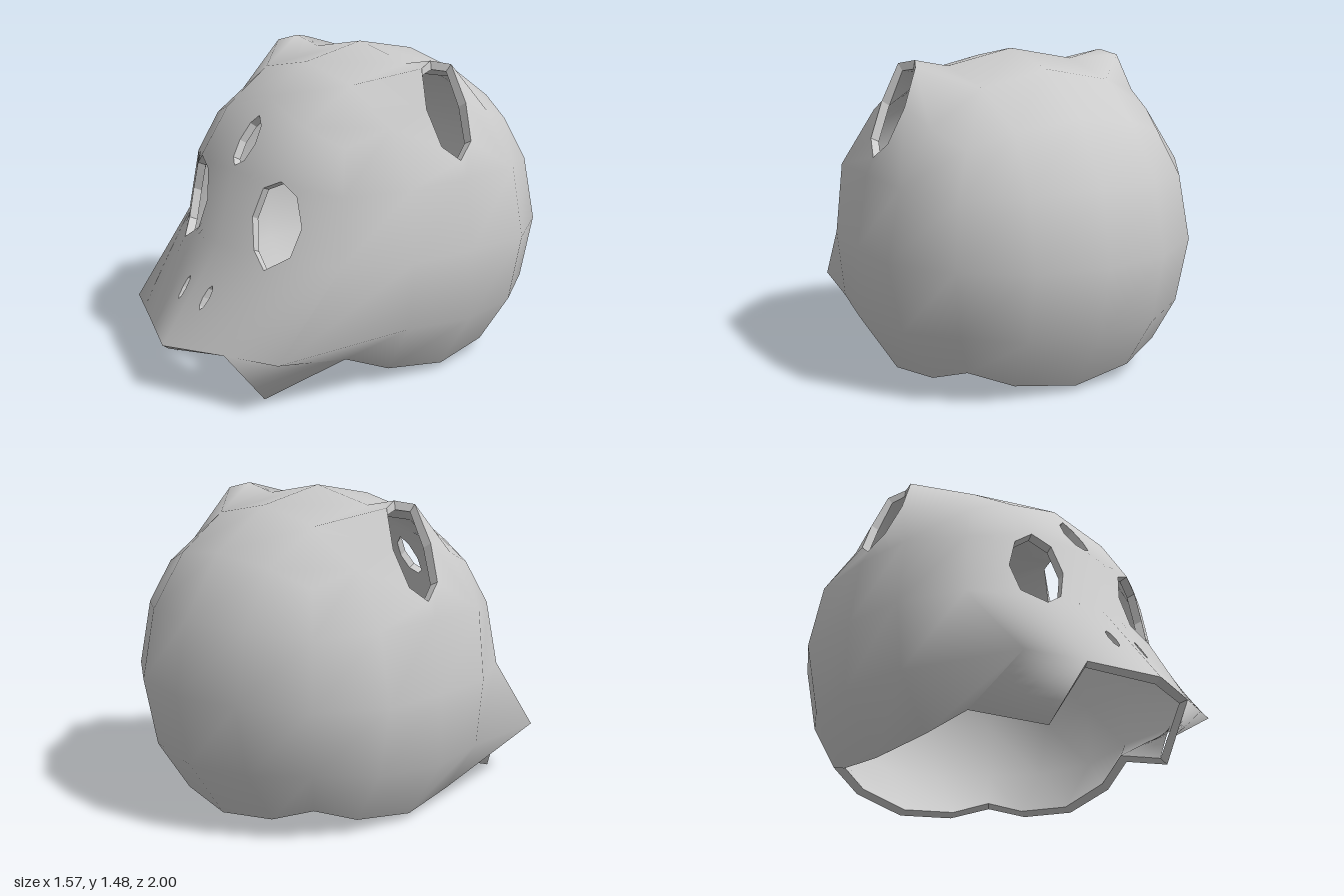
import * as THREE from 'three';

const V = (x, y, z) => new THREE.Vector3(x, y, z);
const WALL = 0.04; // shell thickness
const R = 0.85;    // skull radius

// Moulded points of the face and sides, on the cube lattice (|i|, j, k)
const moulded = {
  '0,2,2': [0, 1.28, 0.39], '0,1,2': [0, 0.97, 0.6], '0,0,2': [0, 0.64, 0.685],
  '0,-1,2': [0, 0.22, 1], '1,-1,2': [0.31, 0.24, 0.88], '2,-1,2': [0.57, 0.25, 0.78],
  '1,-2,2': [0.36, 0, 0.7], '2,1,0': [0.735, 0.955, -0.15], '2,0,1': [0.755, 0.63, 0.17],
};

// Every other lattice point lies on a sphere with flattened sides
function position(i, j, k) {
  const m = moulded[[Math.abs(i), j, k].join()];
  if (m) return V(m[0] * (Math.sign(i) || 1), m[1], m[2]);
  const c = [i, j, k];
  const spread = (n, a) => {
    if (Math.abs(n) !== 1) return n / 2;
    const other = Math.min(...c.filter((_, b) => b !== a).map(Math.abs));
    return n * (0.414 + 0.028 * other * other);
  };
  const p = V(...c.map(spread)).setLength(R);
  p.x = THREE.MathUtils.clamp(p.x, -0.785, 0.785);
  return p.add(V(0, 0.63, -0.15));
}

// A vertex pairs an outer point with its smooth normal
const vertex = p => ({ p, n: V(0, 0, 0) });
const inside = a => a.p.clone().addScaledVector(a.n, -WALL);

function mix(a, b, t) {
  return { p: a.p.clone().lerp(b.p, t), n: a.n.clone().lerp(b.n, t).normalize() };
}

// Collects triangles with their normals
class Surface {
  constructor() { this.pos = []; this.nor = []; }
  tri(points, normals) {
    points.forEach((p, a) => {
      this.pos.push(p.x, p.y, p.z);
      this.nor.push(normals[a].x, normals[a].y, normals[a].z);
    });
  }
  // Outer skin and matching inner skin
  skin(a, b, c, d) {
    for (const t of [[a, b, c], [a, c, d]]) {
      this.tri(t.map(v => v.p), t.map(v => v.n));
      t.reverse();
      this.tri(t.map(inside), t.map(v => v.n.clone().negate()));
    }
  }
  // Flat wall through the thickness around an opening
  rim(loop) {
    loop.forEach((a, s) => {
      const b = loop[(s + 1) % loop.length];
      const qa = inside(a), qb = inside(b);
      const n = b.p.clone().sub(a.p).cross(qa.clone().sub(a.p)).normalize();
      this.tri([a.p, b.p, qb], [n, n, n]);
      this.tri([a.p, qb, qa], [n, n, n]);
    });
  }
  mesh(name, material) {
    const g = new THREE.BufferGeometry();
    g.setAttribute('position', new THREE.Float32BufferAttribute(this.pos, 3));
    g.setAttribute('normal', new THREE.Float32BufferAttribute(this.nor, 3));
    const m = new THREE.Mesh(g, material);
    m.name = name;
    return m;
  }
}

// Face openings in lattice units: block centre and half size in cells, ellipse centre and radii
const CELL = 1 / 8;
const openings = [{ at: [0, 1.375], size: 3, c: [0, 1.4], r: [0.19, 0.34] }];
for (const s of [-1, 1]) {
  openings.push({ at: [s, 0.5], size: 5, c: [s * 0.98, 0.49], r: [0.42, 0.6] });
  openings.push({ at: [s * 0.25, -0.5], size: 2, c: [s * 0.28, -0.5], r: [0.055, 0.12] });
}

// Pulls grid points around an opening outward on to its octagonal edge
function warp(u, v) {
  for (const o of openings) {
    const a = Math.round((u - o.at[0]) / CELL), b = Math.round((v - o.at[1]) / CELL);
    const s = Math.max(Math.abs(a), Math.abs(b));
    if (s === 0 || s >= o.size) continue;
    const ang = Math.atan2(b, a), t = (s - 1) / (o.size - 1), k = o.size * CELL / s;
    return [
      THREE.MathUtils.lerp(o.c[0] + o.r[0] * Math.cos(ang), o.at[0] + a * k, t),
      THREE.MathUtils.lerp(o.c[1] + o.r[1] * Math.sin(ang), o.at[1] + b * k, t),
    ];
  }
  return [u, v];
}
const inOpening = (u, v) => openings.some(o =>
  Math.abs(u - o.at[0]) < CELL && Math.abs(v - o.at[1]) < CELL);

export function createModel() {
  const lattice = new Map();
  const at = (i, j, k) => {
    const key = [i, j, k].join();
    if (!lattice.has(key)) lattice.set(key, vertex(position(i, j, k)));
    return lattice.get(key);
  };

  // Five sides of the rounded cube; the underside stays open
  const front = (u, v) => at(u, v, 2);
  const sides = [
    front,
    (u, v) => at(-u, v, -2),
    (u, v) => at(2, v, -u),
    (u, v) => at(-2, v, u),
    (u, v) => at(u, 2, -v),
  ];
  const quads = [];
  const earCentres = [at(2, 2, 0), at(-2, 2, 0)];
  for (const f of sides) {
    for (let u = -2; u < 2; u++) for (let v = -2; v < 2; v++) {
      if (f === front && v === -2 && (u === -1 || u === 0)) continue; // mouth
      const q = [f(u, v), f(u + 1, v), f(u + 1, v + 1), f(u, v + 1)];
      if (q.some(a => earCentres.includes(a))) continue;
      q.isFront = f === front;
      quads.push(q);
    }
  }

  // Raised ear openings astride the upper side edges
  const earBase = [[1, 2, 0], [1, 2, 1], [2, 2, 1], [2, 1, 1], [2, 1, 0], [2, 1, -1], [2, 2, -1], [1, 2, -1]];
  const earEdge = [[0.49, 1.45, 0], [0.53, 1.43, 0.09], [0.6, 1.26, 0.12], [0.67, 1.1, 0.09], [0.7, 1.03, 0]];
  for (let s = 3; s > 0; s--) earEdge.push([earEdge[s][0], earEdge[s][1], -earEdge[s][2]]);
  const earLoops = [1, -1].map(side => {
    const base = earBase.map(([i, j, k]) => at(side * i, j, k));
    const edge = earEdge.map(([x, y, z]) => vertex(V(side * x, y, z - 0.15)));
    if (side < 0) { base.reverse(); edge.reverse(); }
    edge.forEach((e, s) => {
      const n = (s + 1) % 8;
      quads.push([base[s], base[n], edge[n], e]);
    });
    return edge;
  });

  // Smooth normals shared by neighbouring patches
  for (const [a, b, c, d] of quads) {
    const n = c.p.clone().sub(a.p).cross(d.p.clone().sub(b.p));
    [a, b, c, d].forEach(v => v.n.add(n));
  }
  new Set(quads.flat()).forEach(v => v.n.normalize());

  const shell = new Surface(), rims = new Surface();
  quads.filter(q => !q.isFront).forEach(q => shell.skin(...q));

  // Face: finer grid over the front patches, with openings
  const face = (u0, v0) => {
    const [u, v] = warp(u0, v0);
    const i = THREE.MathUtils.clamp(Math.floor(u), -2, 1);
    const j = THREE.MathUtils.clamp(Math.floor(v), -2, 1);
    return mix(mix(front(i, j), front(i + 1, j), u - i),
      mix(front(i, j + 1), front(i + 1, j + 1), u - i), v - j);
  };
  for (let u = -2; u < 2; u += CELL) for (let v = -2; v < 2; v += CELL) {
    const cu = u + CELL / 2, cv = v + CELL / 2;
    if ((cv < -1 && Math.abs(cu) < 1) || inOpening(cu, cv)) continue;
    shell.skin(face(u, v), face(u + CELL, v), face(u + CELL, v + CELL), face(u, v + CELL));
  }

  // Edges of eyes, nostrils, forehead opening, ears and lower rim
  const ring = [[1, 0], [1, 1], [0, 1], [-1, 1], [-1, 0], [-1, -1], [0, -1], [1, -1]];
  for (const o of openings) {
    rims.rim(ring.map(([a, b]) => face(o.at[0] + a * CELL, o.at[1] + b * CELL)));
  }
  earLoops.forEach(l => rims.rim(l));
  const half = [[1, -1, 2], [1, -2, 2], [2, -2, 2], [2, -2, 1], [2, -2, 0], [2, -2, -1], [2, -2, -2], [1, -2, -2]];
  const lower = [at(0, -1, 2), ...half.map(c => at(...c)), at(0, -2, -2),
    ...half.map(([i, j, k]) => at(-i, j, k)).reverse()];
  rims.rim(lower.reverse());

  const material = new THREE.MeshStandardMaterial({ color: 0xcccccc });
  const group = new THREE.Group();
  group.name = 'animalMask';
  group.add(shell.mesh('maskShell', material), rims.mesh('openingRims', material));
  return group;
}
